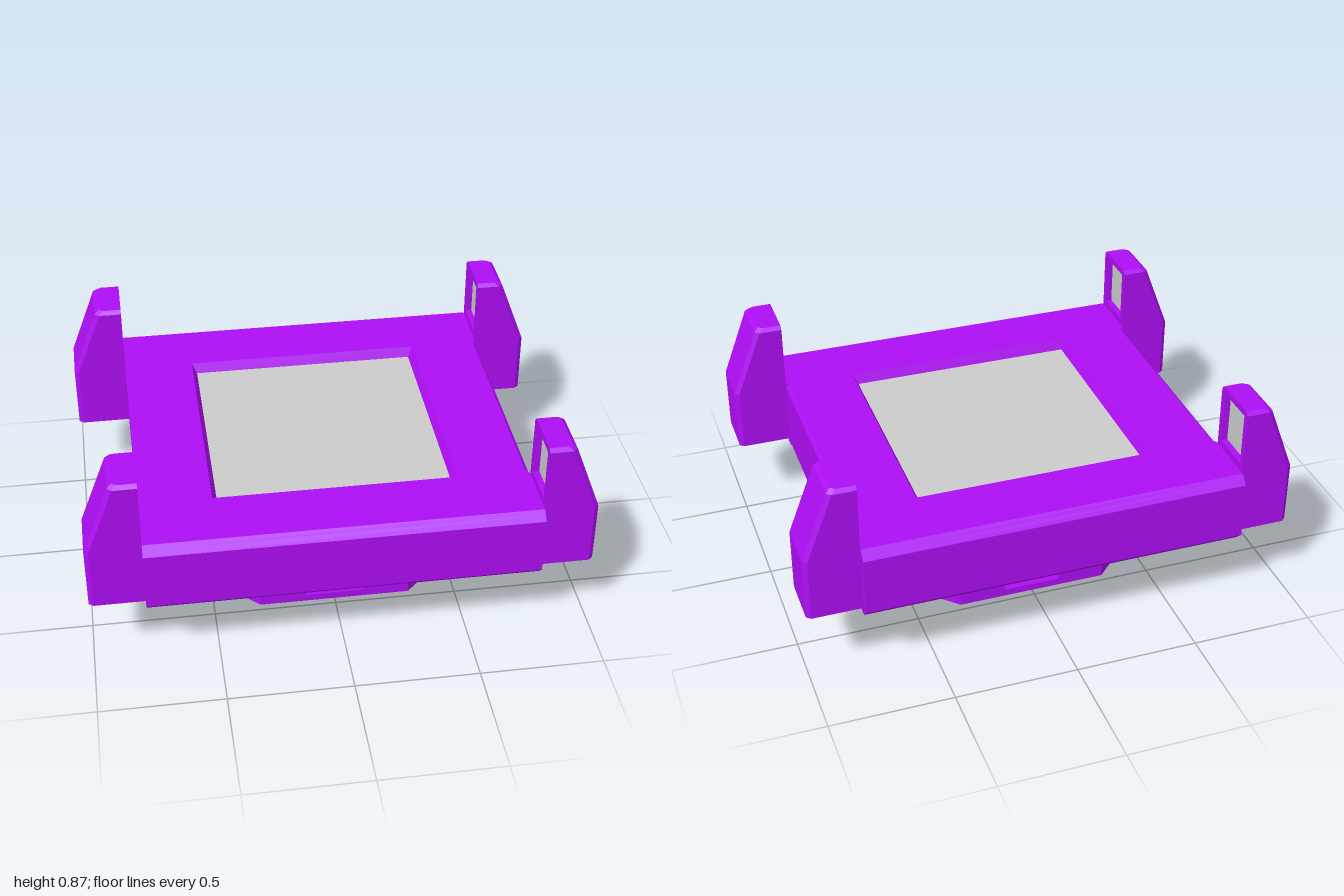
import * as THREE from 'three';

const purple = new THREE.MeshStandardMaterial({ color: 0xae0ef5, flatShading: true });
const grey = new THREE.MeshStandardMaterial({ color: 0xcccccc, side: THREE.DoubleSide });

function add(parent, name, geometry, material) {
  const mesh = new THREE.Mesh(geometry, material);
  mesh.name = name;
  parent.add(mesh);
  return mesh;
}

// Skins level rings ({ y, pts: [[x, z], ...] }, counter-clockwise from above), with optional end caps
function loft(rings, capTop) {
  const n = rings[0].pts.length;
  const pos = rings.flatMap(r => r.pts.flatMap(([x, z]) => [x, r.y, z]));
  const index = [];
  for (let r = 0; r < rings.length - 1; r++) {
    for (let i = 0; i < n; i++) {
      const a = r * n + i, b = r * n + (i + 1) % n;
      index.push(a, b, b + n, a, b + n, a + n);
    }
  }
  const cap = (r, up) => {
    const contour = rings[r].pts.map(([x, z]) => new THREE.Vector2(x, -z));
    for (const [a, b, c] of THREE.ShapeUtils.triangulateShape(contour, [])) {
      const t = up ? [a, b, c] : [c, b, a];
      index.push(...t.map(i => i + r * n));
    }
  };
  cap(0, false);
  if (capTop) cap(rings.length - 1, true);
  const g = new THREE.BufferGeometry();
  g.setAttribute('position', new THREE.Float32BufferAttribute(pos, 3));
  g.setIndex(index);
  const flat = g.toNonIndexed();
  flat.computeVertexNormals();
  return flat;
}

const toShape = pts => new THREE.Shape(pts.map(([x, y]) => new THREE.Vector2(x, y)));

// Wall panel with a rectangular opening and a grey pane at its back
function windowPanel(outline, halfW, y0, y1, depth) {
  const g = new THREE.Group();
  g.name = 'windowPanel';
  const shape = toShape(outline);
  shape.holes.push(toShape([[-halfW, y0], [-halfW, y1], [halfW, y1], [halfW, y0]]));
  add(g, 'windowFrame', new THREE.ExtrudeGeometry(shape, { depth, bevelEnabled: false }), purple);
  const pane = add(g, 'windowPane', new THREE.PlaneGeometry(halfW * 2, y1 - y0), grey);
  pane.position.set(0, (y0 + y1) / 2, 0.003);
  return g;
}

// Platform: chamfered slab with a shallow sunken square on top
function buildPlatform() {
  const g = new THREE.Group();
  g.name = 'platform';
  const whole = half => [...half, ...half.map(([x, z]) => [-x, -z])];
  const outer = (y, d, xs) => ({
    y,
    pts: whole([[0.78, d], [0.78, 0.505], [xs, 0.485], [xs, -0.485], [0.78, -0.505], [0.78, -d]]),
  });
  const inner = (y, a) => ({ y, pts: whole([1, 0.9, 0.8, -0.8, -0.9, -1].map(k => [a, a * k])) });
  add(g, 'platformBody', loft([
    outer(0.28, 0.745, 0.765), outer(0.295, 0.76, 0.78), outer(0.315, 0.78, 0.78),
    outer(0.555, 0.78, 0.78), outer(0.575, 0.76, 0.78), outer(0.59, 0.745, 0.765),
    inner(0.59, 0.49), inner(0.55, 0.47),
  ], false), purple);
  const plate = add(g, 'topPlate', new THREE.PlaneGeometry(0.94, 0.94), grey);
  plate.rotation.x = -Math.PI / 2;
  plate.position.y = 0.55;
  return g;
}

// Base: octagonal foot, one window per side, plate sunk into the underside
function buildBase() {
  const g = new THREE.Group();
  g.name = 'base';
  const turn = (pts, k) => pts.map(([x, y]) => {
    for (let i = 0; i < k; i++) [x, y] = [-y, x];
    return [x, y];
  });
  const around = pts => [0, 1, 2, 3].flatMap(k => turn(pts, k));
  const wall = toShape(around([[0.47, -0.31], [0.44, -0.31], [0.44, 0.31], [0.47, 0.31]]));
  const recess = toShape(around([[0.42, -0.29], [0.42, 0.29]]));
  const plate = new THREE.ShapeGeometry(recess).rotateX(-Math.PI / 2).translate(0, 0.06, 0);
  wall.holes.push(recess);
  const body = new THREE.ExtrudeGeometry(wall, { depth: 0.28, bevelEnabled: false });
  add(g, 'baseBody', body.rotateX(-Math.PI / 2), purple);
  add(g, 'bottomPlate', plate, grey);
  for (let k = 0; k < 4; k++) {
    const side = new THREE.Group();
    side.name = 'baseSide';
    side.rotation.y = k * Math.PI / 2;
    const panel = windowPanel([[-0.31, 0], [0.31, 0], [0.31, 0.28], [-0.31, 0.28]], 0.12, 0.03, 0.25, 0.03);
    panel.position.z = 0.44;
    side.add(panel);
    g.add(side);
  }
  return g;
}

// Corner post: tapered outer side with chamfered edges, window on the inner face
function buildPost() {
  const g = new THREE.Group();
  g.name = 'cornerPost';
  const section = (y, xo, h) => ({
    y,
    pts: [[0.81, h], [xo - 0.018, h], [xo, h - 0.015], [xo, 0.015 - h], [xo - 0.018, -h], [0.81, -h]],
  });
  add(g, 'postBody', loft([
    section(0.31, 1, 0.115), section(0.57, 1, 0.115), section(0.853, 0.892, 0.115), section(0.867, 0.875, 0.1),
  ], true), purple);
  const panel = windowPanel([
    [-0.115, 0.31], [0.115, 0.31], [0.115, 0.853], [0.1, 0.867], [-0.1, 0.867], [-0.115, 0.853],
  ], 0.087, 0.62, 0.84, 0.03);
  panel.rotation.y = -Math.PI / 2;
  panel.position.x = 0.81;
  g.add(panel);
  return g;
}

export function createModel() {
  const model = new THREE.Group();
  model.name = 'dockingPlatform';
  model.add(buildPlatform(), buildBase());
  for (const sx of [1, -1]) {
    for (const sz of [1, -1]) {
      const post = buildPost();
      post.rotation.y = sx > 0 ? 0 : Math.PI;
      post.position.z = sz * 0.625;
      model.add(post);
    }
  }
  return model;
}
